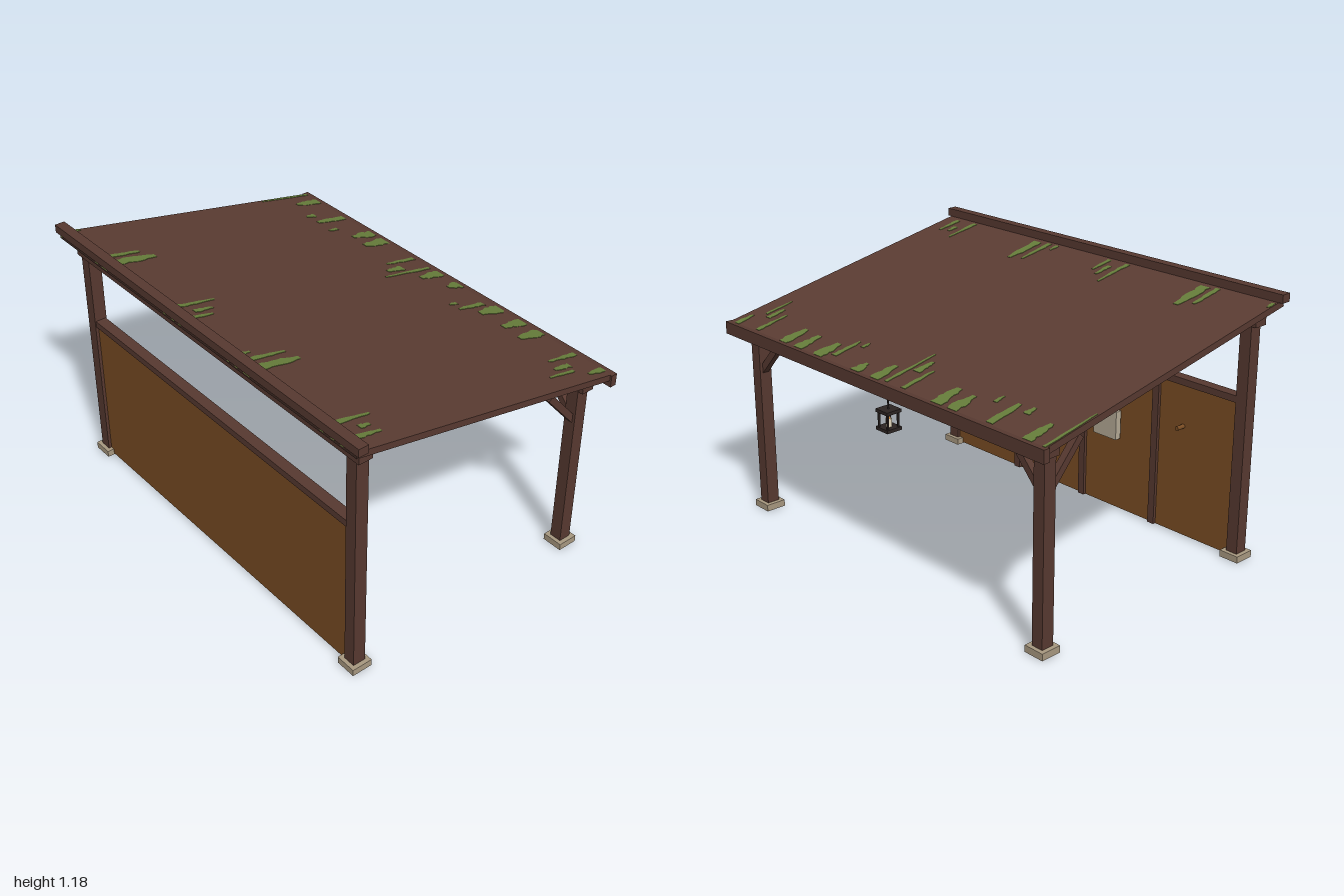
import * as THREE from 'three';

const material = (name, color) => {
  const m = new THREE.MeshStandardMaterial({ color });
  m.name = name;
  return m;
};

export function createModel() {
  const timber = material('timber', 0x573930);
  const roofBrown = material('roof brown', 0x5b3c33);
  const ceiling = material('dark ceiling', 0x38251f);
  const panelWood = material('panel wood', 0x7a4d24);
  const moss = material('moss', 0x667d3a);
  const stone = material('stone', 0xa89880);
  const cloth = material('cloth', 0xb5aa96);
  const metal = material('dark metal', 0x2c2422);
  const cream = material('candle cream', 0xe8dcc0);
  const amber = material('amber', 0xc9853a);

  const model = new THREE.Group();
  model.name = 'shelter';

  const mesh = (parent, name, geometry, mat) => {
    const m = new THREE.Mesh(geometry, mat);
    m.name = name;
    parent.add(m);
    return m;
  };
  // Box given by its extents on each axis
  const box = (parent, name, mat, [x0, x1], [y0, y1], [z0, z1]) => {
    const m = mesh(parent, name, new THREE.BoxGeometry(x1 - x0, y1 - y0, z1 - z0), mat);
    m.position.set((x0 + x1) / 2, (y0 + y1) / 2, (z0 + z1) / 2);
    return m;
  };
  const around = (c, size) => [c - size / 2, c + size / 2];

  const postX = 0.887, frontZ = 0.585, backZ = -0.571;

  // Stone foot: a square collar around the post
  const collar = new THREE.Shape([[-1, -1], [1, -1], [1, 1], [-1, 1]].map(([x, y]) => new THREE.Vector2(x * 0.047, y * 0.047)));
  collar.holes.push(new THREE.Path([[-1, -1], [-1, 1], [1, 1], [1, -1]].map(([x, y]) => new THREE.Vector2(x * 0.0275, y * 0.0275))));
  const footGeometry = new THREE.ExtrudeGeometry(collar, { depth: 0.03, bevelEnabled: false }).rotateX(-Math.PI / 2);

  // Posts and feet
  for (const side of [-1, 1]) {
    for (const [z, top] of [[frontZ, 1.06], [backZ, 0.84]]) {
      box(model, 'post', timber, around(side * postX, 0.055), [0.004, top], around(z, 0.058));
      mesh(model, 'foot', footGeometry, stone).position.set(side * postX, 0, z);
    }
  }

  // Cross beams and edge boards
  box(model, 'frontBeam', timber, [-0.935, 0.935], [1.04, 1.1], [0.557, 0.621]);
  box(model, 'backBeam', timber, [-0.935, 0.935], [0.813, 0.868], [-0.607, -0.546]);
  box(model, 'frontCap', timber, [-1, 1], [1.14, 1.176], [0.633, 0.678]);
  box(model, 'backFascia', timber, [-0.988, 0.988], [0.831, 0.886], [-0.678, -0.648]);

  // Diagonal braces on the back posts
  const brace = (a, b) => {
    const start = new THREE.Vector3(...a), end = new THREE.Vector3(...b);
    const m = mesh(model, 'brace', new THREE.BoxGeometry(0.03, 0.03, start.distanceTo(end)), timber);
    m.position.copy(start).lerp(end, 0.5);
    m.lookAt(end);
  };
  for (const side of [-1, 1]) {
    brace([side * 0.87, 0.668, backZ], [side * 0.715, 0.835, backZ]);
    brace([side * postX, 0.668, backZ + 0.02], [side * postX, 0.838, -0.4]);
  }

  // Sloping roof: sheet, rafters and moss share one tilted group
  const roof = new THREE.Group();
  roof.name = 'roof';
  roof.position.y = 1.015;
  roof.rotation.x = -0.1945;
  model.add(roof);
  const sheetFaces = [timber, timber, roofBrown, ceiling, ceiling, timber];
  box(roof, 'roofSheet', sheetFaces, [-0.98, 0.98], [-0.028, 0], [-0.686, 0.677]);
  for (const x of [-postX, -0.66, -0.22, 0.22, 0.66, postX]) {
    box(roof, 'rafter', timber, around(x, 0.035), [-0.063, -0.027], [-0.62, 0.63]);
  }

  // Moss streaks: x, z start, z end, width
  const streaks = [
    [-0.968, -0.67, -0.4, 0.015], [-0.88, -0.67, -0.54, 0.045], [-0.745, -0.54, -0.49, 0.03],
    [-0.675, -0.66, -0.5, 0.04], [-0.58, -0.54, -0.49, 0.02], [-0.48, -0.67, -0.55, 0.055],
    [-0.39, -0.67, -0.54, 0.06], [-0.19, -0.66, -0.5, 0.025], [-0.13, -0.54, -0.45, 0.035],
    [-0.085, -0.66, -0.4, 0.018], [-0.02, -0.67, -0.55, 0.055], [0.1, -0.67, -0.6, 0.05],
    [0.235, -0.52, -0.48, 0.02], [0.285, -0.63, -0.49, 0.03], [0.35, -0.67, -0.55, 0.06],
    [0.485, -0.67, -0.55, 0.05], [0.59, -0.67, -0.54, 0.055], [0.79, -0.66, -0.5, 0.025],
    [0.85, -0.56, -0.47, 0.03], [0.89, -0.54, -0.4, 0.018], [0.935, -0.67, -0.58, 0.03],
    [-0.69, 0.47, 0.63, 0.03], [-0.63, 0.43, 0.62, 0.05], [-0.19, 0.44, 0.63, 0.025],
    [-0.13, 0.49, 0.58, 0.025], [-0.085, 0.52, 0.63, 0.02], [0.235, 0.58, 0.63, 0.02],
    [0.285, 0.45, 0.63, 0.025], [0.35, 0.43, 0.62, 0.05], [0.79, 0.46, 0.63, 0.025],
    [0.85, 0.51, 0.56, 0.025], [0.9, 0.5, 0.62, 0.025], [-0.968, 0.59, 0.63, 0.02],
  ];
  let seed = 7;
  const random = () => (seed = (seed * 16807) % 2147483647) / 2147483647;
  for (const [x, z0, z1, width] of streaks) {
    // Ragged outline, narrowing toward the middle of the roof
    const left = [], right = [], steps = 8;
    for (let i = 0; i <= steps; i++) {
      const t = i / steps;
      const inward = z0 < 0 ? t : 1 - t;
      const half = (width / 2) * (1.1 - 0.6 * inward * inward);
      const z = z0 + (z1 - z0) * t;
      left.push(new THREE.Vector2(x - half * (0.65 + 0.5 * random()), -z));
      right.unshift(new THREE.Vector2(x + half * (0.65 + 0.5 * random()), -z));
    }
    const outline = new THREE.Shape([...left, ...right]);
    const patch = mesh(roof, 'mossStreak', new THREE.ExtrudeGeometry(outline, { depth: 0.002, bevelEnabled: false }), moss);
    patch.rotation.x = -Math.PI / 2;
    if (z0 > 0) box(roof, 'edgeMoss', moss, around(x, width * 0.8), [-0.02, -0.012], [0.677, 0.679]);
  }

  // Half-height front wall
  box(model, 'wallPanel', panelWood, [-0.862, 0.862], [0.006, 0.705], [0.572, 0.6]);
  box(model, 'wallRail', timber, [-0.862, 0.862], [0.7, 0.73], [0.56, 0.61]);
  for (const x of [-0.43, 0, 0.43]) {
    box(model, 'wallBatten', timber, around(x, 0.035), [0.006, 0.7], [0.558, 0.573]);
  }

  // Pegs on the inner side of the wall
  for (const x of [-0.58, -0.16, 0.28, 0.62]) {
    const peg = mesh(model, 'peg', new THREE.CylinderGeometry(0.01, 0.01, 0.046, 8), panelWood);
    peg.rotation.x = Math.PI / 2;
    peg.position.set(x, 0.512, 0.551);
  }

  // Cloth hanging below a peg
  box(model, 'cloth', cloth, around(-0.16, 0.135), [0.35, 0.483], [0.536, 0.566]);

  // Hanging lantern under the back beam
  const lantern = new THREE.Group();
  lantern.name = 'lantern';
  lantern.position.set(0, 0.64, backZ);
  model.add(lantern);
  box(lantern, 'lanternBase', metal, around(0, 0.074), [0, 0.014], around(0, 0.074));
  box(lantern, 'lanternLid', metal, around(0, 0.074), [0.076, 0.09], around(0, 0.074));
  for (const x of [-0.027, 0.027]) {
    for (const z of [-0.027, 0.027]) {
      box(lantern, 'lanternBar', metal, around(x, 0.008), [0.013, 0.077], around(z, 0.008));
    }
  }
  mesh(lantern, 'candle', new THREE.CylinderGeometry(0.013, 0.013, 0.036, 10), cream).position.y = 0.031;
  mesh(lantern, 'flame', new THREE.ConeGeometry(0.009, 0.022, 8), amber).position.y = 0.06;
  mesh(lantern, 'hanger', new THREE.CylinderGeometry(0.004, 0.004, 0.09, 6), metal).position.y = 0.134;

  return model;
}
